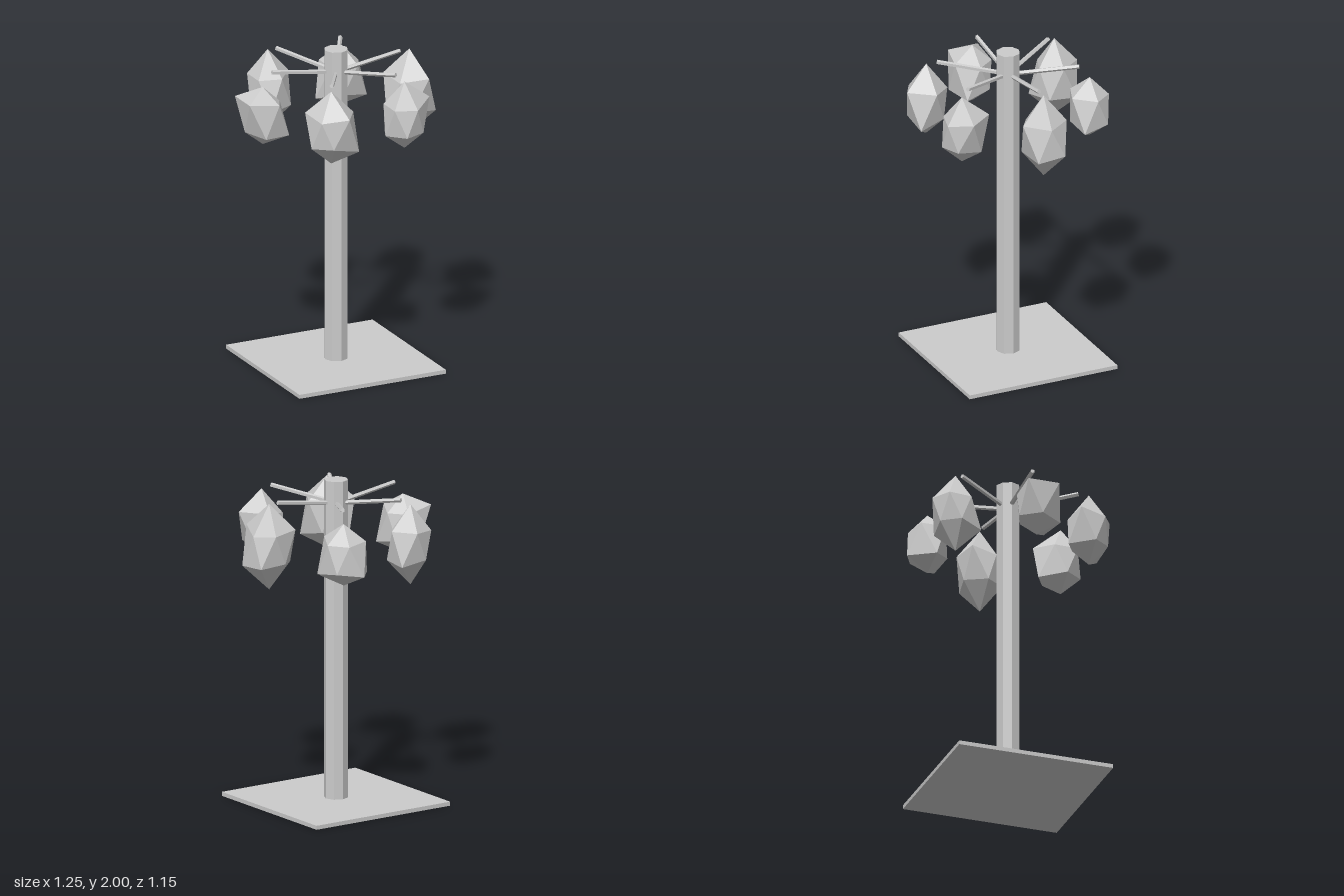
import * as THREE from 'three';

const RAD = Math.PI / 180;
const CLUSTER_Y = 1.65;
const CLUSTER_DISTANCE = 0.493;
const STRETCH = 1.4;

// Each faceted pod: top radius, upper ring (0, 72 ... deg), lower ring (36, 108 ... deg), bottom radius
const PODS = [
  { angle: 0, top: 0.194, upper: [0.13, 0.19, 0.135, 0.177, 0.157], lower: [0.181, 0.15, 0.173, 0.137, 0.166], bottom: 0.186 },
  { angle: 60, top: 0.171, upper: [0.188, 0.13, 0.14, 0.143, 0.186], lower: [0.13, 0.135, 0.143, 0.19, 0.15], bottom: 0.132 },
  { angle: 120, top: 0.182, upper: [0.166, 0.178, 0.135, 0.178, 0.143], lower: [0.191, 0.13, 0.147, 0.173, 0.135], bottom: 0.146 },
  { angle: 180, top: 0.133, upper: [0.128, 0.162, 0.188, 0.19, 0.13], lower: [0.181, 0.162, 0.134, 0.143, 0.132], bottom: 0.128 },
  { angle: 240, top: 0.178, upper: [0.154, 0.14, 0.13, 0.14, 0.156], lower: [0.16, 0.174, 0.13, 0.13, 0.175], bottom: 0.178 },
  { angle: 300, top: 0.143, upper: [0.132, 0.163, 0.15, 0.15, 0.13], lower: [0.178, 0.135, 0.192, 0.173, 0.14], bottom: 0.13 },
];

// Irregular icosahedron: two staggered five-point rings between two poles
function podGeometry({ top, upper, lower, bottom }) {
  const points = [0, top * STRETCH, 0];
  const addRing = (radii, offset, side) => radii.forEach((r, i) => {
    const a = (offset + i * 72) * RAD;
    points.push(
      Math.cos(a) * r * 0.894,
      side * r * 0.447 * STRETCH,
      Math.sin(a) * r * 0.894,
    );
  });
  addRing(upper, 0, 1);
  addRing(lower, 36, -1);
  points.push(0, -bottom * STRETCH, 0);

  const faces = [];
  for (let i = 0; i < 5; i++) {
    const j = (i + 1) % 5;
    const u = 1 + i, un = 1 + j, l = 6 + i, ln = 6 + j;
    faces.push(0, un, u, u, un, l, un, ln, l, 11, l, ln);
  }
  const indexed = new THREE.BufferGeometry();
  indexed.setAttribute('position', new THREE.Float32BufferAttribute(points, 3));
  indexed.setIndex(faces);
  const geometry = indexed.toNonIndexed();
  geometry.computeVertexNormals();
  return geometry;
}

export function createModel() {
  const model = new THREE.Group();
  const grey = new THREE.MeshStandardMaterial({ color: 0xcccccc, flatShading: true });
  grey.name = 'light grey';

  const add = (name, geometry, parent = model) => {
    const mesh = new THREE.Mesh(geometry, grey);
    mesh.name = name;
    parent.add(mesh);
    return mesh;
  };

  // Square ground plate and octagonal trunk
  add('basePlate', new THREE.BoxGeometry(0.985, 0.025, 0.985)).position.y = 0.0125;
  add('trunk', new THREE.CylinderGeometry(0.074, 0.074, 2, 8)).position.y = 1;

  // Six rising branches, each with a pod near its tip
  const inner = new THREE.Vector3(0.025, 1.857, 0);
  const outer = new THREE.Vector3(0.43, 1.918, 0);
  const direction = outer.clone().sub(inner);
  const branchGeometry = new THREE.CylinderGeometry(0.014, 0.014, direction.length(), 5);

  PODS.forEach((pod) => {
    const a = pod.angle * RAD;
    const arm = new THREE.Group();
    arm.name = 'branchArm';
    arm.rotation.y = -a;
    model.add(arm);
    const branch = add('branch', branchGeometry, arm);
    branch.position.copy(inner).lerp(outer, 0.5);
    branch.quaternion.setFromUnitVectors(new THREE.Vector3(0, 1, 0), direction.clone().normalize());

    add('pod', podGeometry(pod)).position.set(
      Math.cos(a) * CLUSTER_DISTANCE, CLUSTER_Y, Math.sin(a) * CLUSTER_DISTANCE,
    );
  });

  return model;
}
